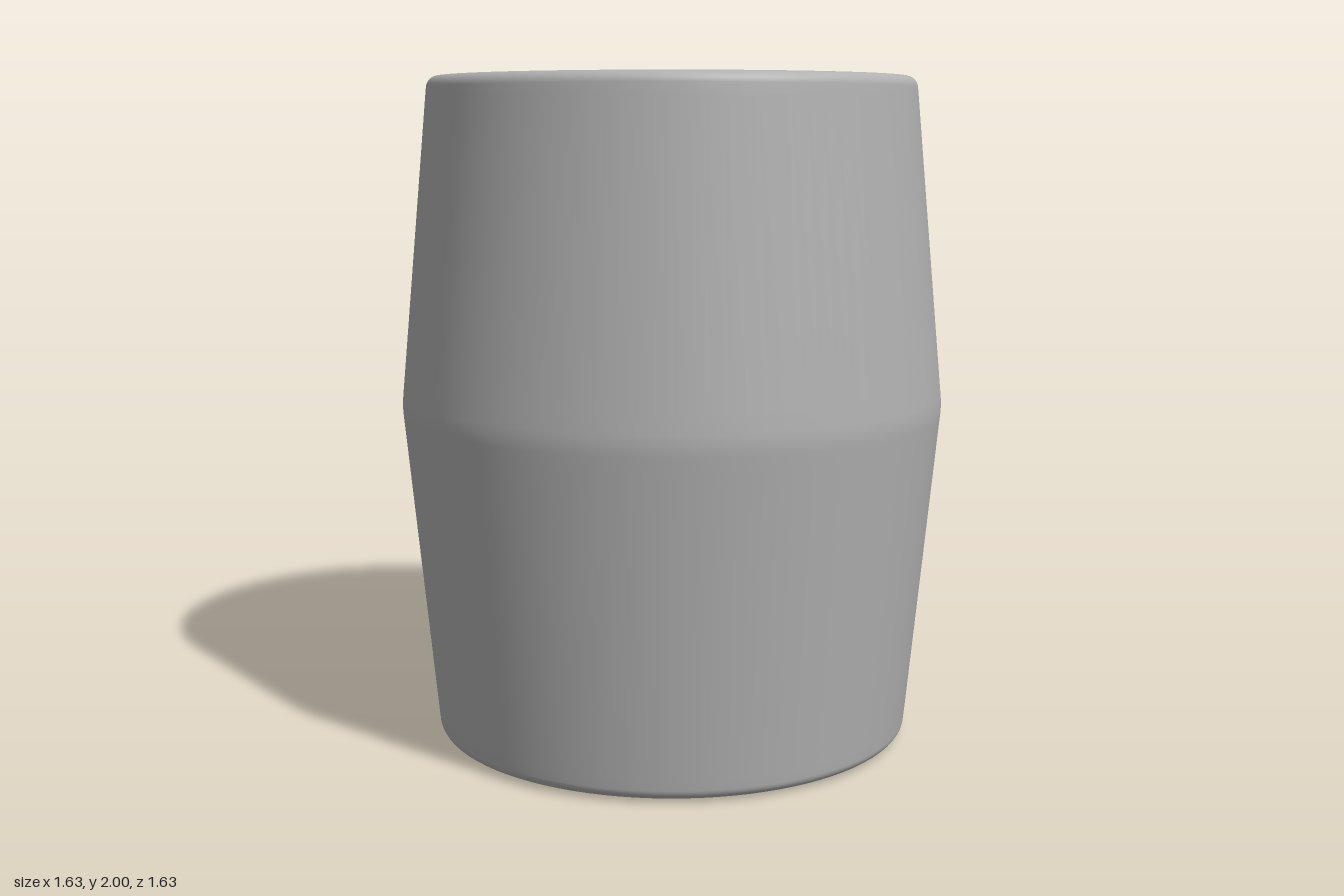
import * as THREE from 'three';

const TOP = 1.993; // height of the lid surface

// Points of a quarter round corner, from angle a0 to a1
function corner(cx, cy, r, a0, a1, n = 8) {
  return Array.from({ length: n + 1 }, (_, i) => {
    const a = a0 + ((a1 - a0) * i) / n;
    return new THREE.Vector2(cx + r * Math.cos(a), cy + r * Math.sin(a));
  });
}

// A shallow crease on the lid: gentle slope inside, steep step outside, fading at both ends
function creaseGeometry(points, height, innerWidth, outerWidth, steps = 24) {
  const curve = new THREE.CatmullRomCurve3(points.map(([x, z]) => new THREE.Vector3(x, 0, z)));
  const pos = [], index = [];
  for (let i = 0; i <= steps; i++) {
    const t = i / steps, p = curve.getPoint(t), d = curve.getTangent(t);
    const fade = Math.sin(Math.PI * t);
    [[-innerWidth * fade, 0], [0, height * fade], [outerWidth * fade, -0.002]].forEach(([o, h]) =>
      pos.push(p.x + d.z * o, TOP + h, p.z - d.x * o));
    if (i === steps) break;
    for (let j = 0; j < 2; j++) {
      const a = i * 3 + j;
      index.push(a, a + 3, a + 1, a + 1, a + 3, a + 4);
    }
  }
  const g = new THREE.BufferGeometry();
  g.setAttribute('position', new THREE.Float32BufferAttribute(pos, 3));
  g.setIndex(index);
  const flat = g.toNonIndexed();
  flat.computeVertexNormals();
  return flat;
}

export function createModel() {
  const group = new THREE.Group();
  group.name = 'barrel';
  const grey = new THREE.MeshStandardMaterial({ color: 0xb0b0b0 });
  grey.name = 'plain grey';

  // Barrel body: two cones meeting in a soft belly, with rounded rims
  const r = 0.035, tilt = 0.095;
  const profile = [
    new THREE.Vector2(0, 0),
    new THREE.Vector2(0.5, 0.003),
    new THREE.Vector2(0.68, 0.008),
    ...corner(0.689, 0.043, r, -Math.PI / 2, -tilt),
    new THREE.Vector2(0.727, 0.07),
    new THREE.Vector2(0.81, 0.94),
    new THREE.Vector2(0.815, 0.99),
    new THREE.Vector2(0.817, 1.02),
    new THREE.Vector2(0.815, 1.05),
    new THREE.Vector2(0.81, 1.1),
    new THREE.Vector2(0.731, 1.93),
    ...corner(0.693, TOP - r, r, tilt, Math.PI / 2),
    new THREE.Vector2(0.67, TOP),
    new THREE.Vector2(0, TOP),
  ];
  const body = new THREE.Mesh(new THREE.LatheGeometry(profile, 96), grey);
  body.name = 'barrelBody';
  group.add(body);

  // Faint creases on the lid
  const creases = {
    longCrease: [[[0.17, -0.16], [0.22, -0.07], [0.26, 0.04], [0.27, 0.16], [0.23, 0.21], [0.15, 0.28]], 0.007, 0.09, 0.006],
    shortCrease: [[[-0.135, 0.17], [-0.16, 0.135], [-0.185, 0.1]], 0.004, 0.03, 0.004],
    smallDent: [[[-0.16, -0.3], [-0.14, -0.26], [-0.115, -0.215]], 0.007, 0.03, 0.022],
  };
  for (const [name, args] of Object.entries(creases)) {
    const crease = new THREE.Mesh(creaseGeometry(...args), grey);
    crease.name = name;
    group.add(crease);
  }
  return group;
}
